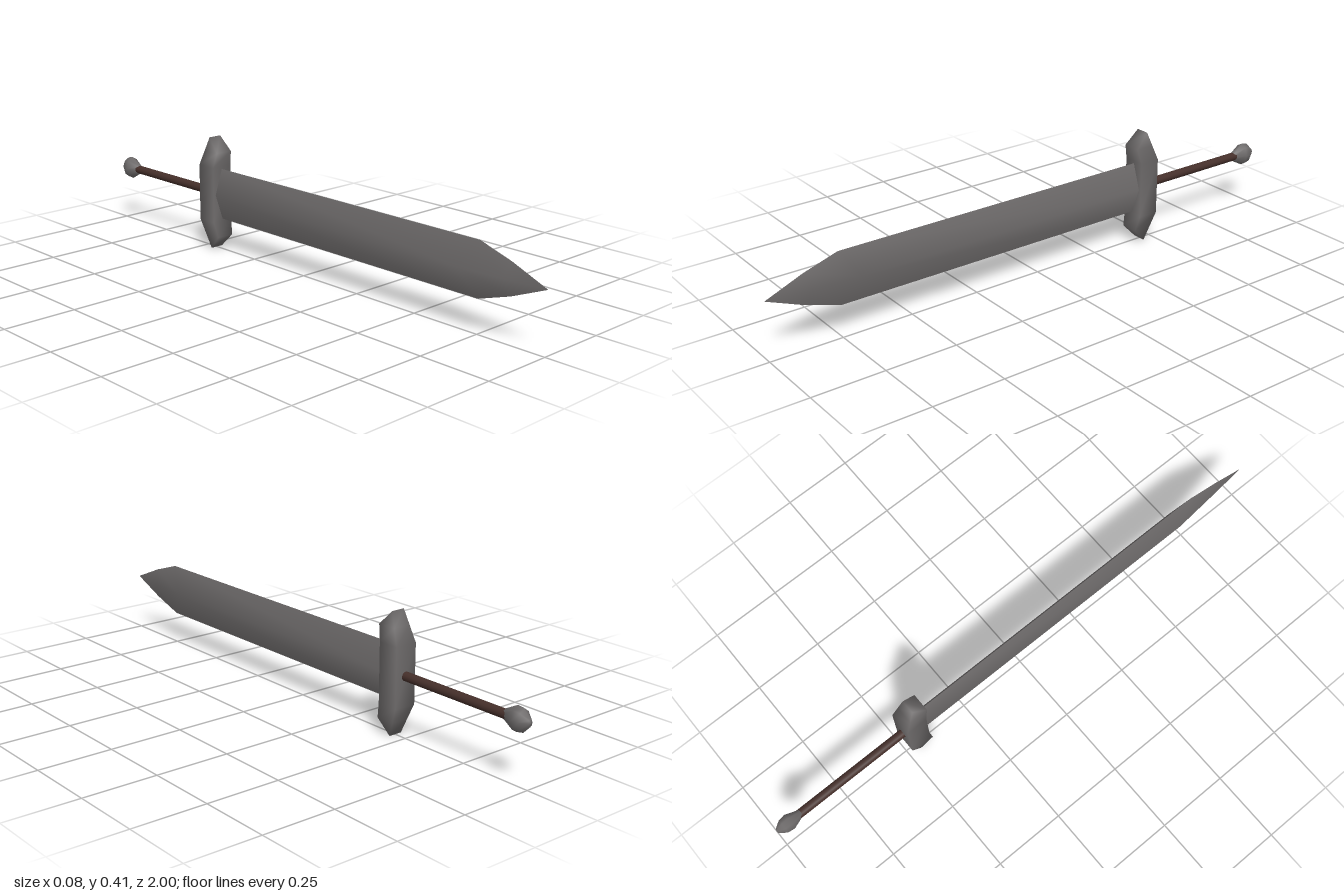
import * as THREE from 'three';
import { mergeVertices } from 'three/addons/utils/BufferGeometryUtils.js';

const CENTRE_Y = 0.203;

// Skin between rows of points, smooth-shaded; closed joins each row into a ring
function loft(rows, closed) {
  const n = rows[0].length;
  const index = [];
  for (let i = 0; i < rows.length - 1; i++) {
    for (let j = 0; j < (closed ? n : n - 1); j++) {
      const k = (j + 1) % n;
      const a = i * n + j, b = i * n + k, c = (i + 1) * n + k, d = (i + 1) * n + j;
      index.push(a, b, c, a, c, d);
    }
  }
  const geometry = new THREE.BufferGeometry();
  geometry.setAttribute('position', new THREE.Float32BufferAttribute(rows.flat(2), 3));
  geometry.setIndex(index);
  const merged = mergeVertices(geometry, 1e-5);
  merged.computeVertexNormals();
  return merged;
}

export function createModel() {
  const steel = new THREE.MeshStandardMaterial({ color: 0x6e6b6b });
  steel.name = 'dark steel';
  const leather = new THREE.MeshStandardMaterial({ color: 0x452f2a });
  leather.name = 'brown leather';

  const sword = new THREE.Group();
  sword.name = 'sword';
  const add = (name, geometry, material, parent = sword) => {
    const mesh = new THREE.Mesh(geometry, material);
    mesh.name = name;
    parent.add(mesh);
    return mesh;
  };

  // Blade: two softly ridged sides that meet at sharp edges
  // [edge z, ridge z, half thickness, half width]
  const sections = [
    [-0.43, -0.43, 0.03, 0.091],
    [0.75, 0.69, 0.03, 0.091],
    [0.87, 0.85, 0.015, 0.053],
    [1, 1, 0, 0],
  ];
  const blade = new THREE.Group();
  blade.name = 'blade';
  sword.add(blade);
  for (const side of [1, -1]) {
    const rows = sections.map(([edgeZ, ridgeZ, x, y]) => [
      [0, -side * y, edgeZ],
      [side * x, 0, ridgeZ],
      [0, side * y, edgeZ],
    ]);
    add(side > 0 ? 'bladeLeftSide' : 'bladeRightSide', loft(rows, false), steel, blade);
  }
  blade.position.y = CENTRE_Y;

  // Crossguard: rounded block with flared, wedge-shaped ends
  // [height from the centre, half thickness, front z, back z]
  const lower = [
    [-0.203, 0.024, -0.455, -0.455],
    [-0.153, 0.032, -0.407, -0.474],
    [-0.1, 0.04, -0.42, -0.495],
  ];
  const upper = lower.map(([y, ...rest]) => [-y, ...rest]).reverse();
  const guardRows = [...lower, ...upper].map(([y, x, front, back]) => [
    [x, y, front], [x, y, back], [-x, y, back], [-x, y, front],
  ]);
  add('crossguard', loft(guardRows, true), steel).position.y = CENTRE_Y;

  // Grip: slim rod
  const grip = new THREE.CylinderGeometry(0.015, 0.015, 0.45, 12);
  grip.rotateX(Math.PI / 2);
  add('grip', grip, leather).position.set(0, CENTRE_Y, -0.69);

  // Pommel: flattened faceted knob, turned about the grip
  const profile = [[0, -1], [0.012, -0.998], [0.036, -0.974], [0.041, -0.95], [0.017, -0.905], [0, -0.9]]
    .map(([r, z]) => new THREE.Vector2(r, z));
  const pommel = new THREE.LatheGeometry(profile, 8);
  pommel.rotateX(Math.PI / 2);
  pommel.scale(0.7, 1, 1);
  add('pommel', pommel, steel).position.y = CENTRE_Y;

  return sword;
}
